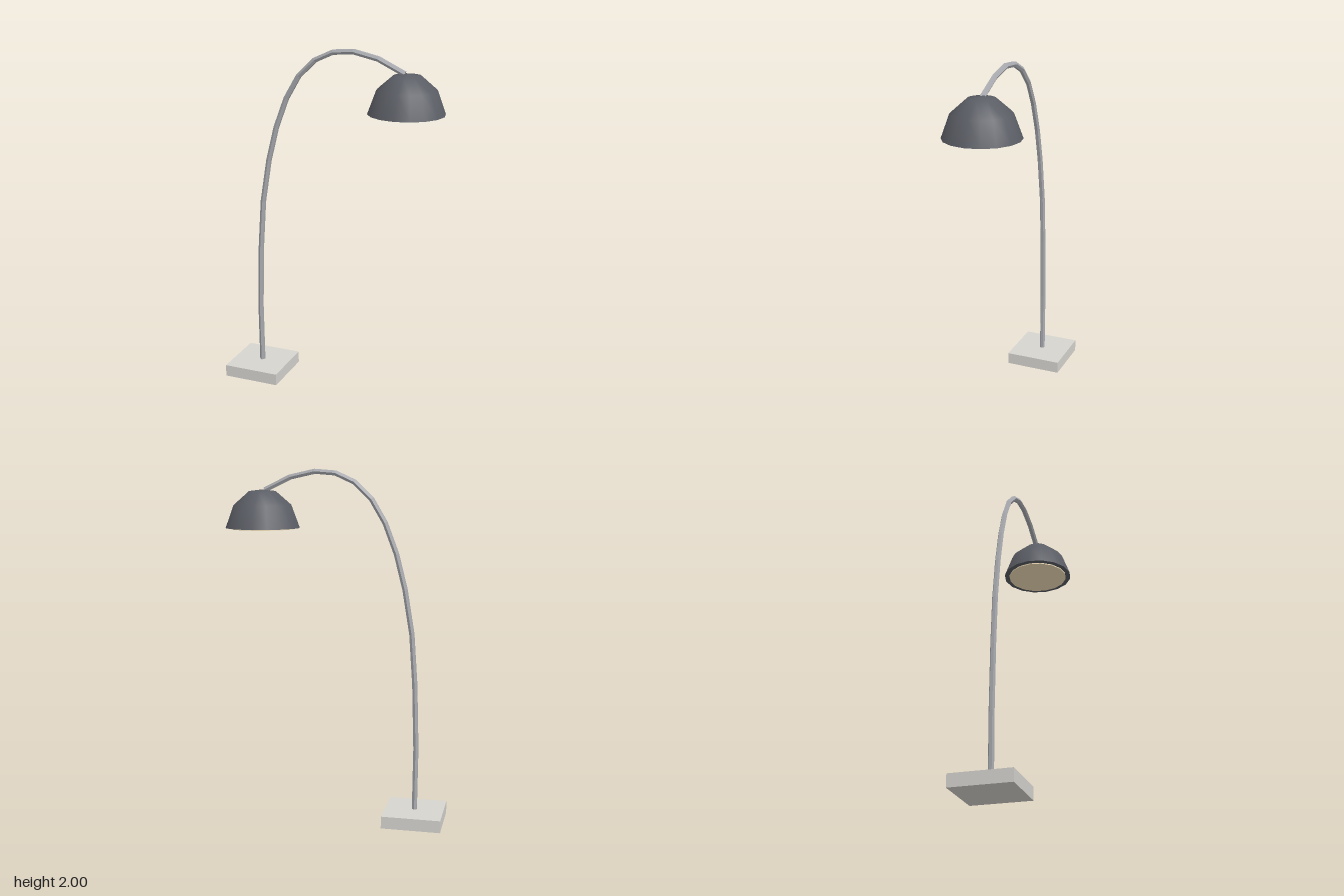
import * as THREE from 'three';

const mat = (color, extra = {}) => new THREE.MeshStandardMaterial({ color, ...extra });

function addPart(group, name, geometry, material, x = 0, y = 0) {
  const mesh = new THREE.Mesh(geometry, material);
  mesh.name = name;
  mesh.position.set(x, y, 0);
  group.add(mesh);
}

export function createModel() {
  const group = new THREE.Group();
  group.name = 'arcFloorLamp';

  // Square slab base
  addPart(group, 'base', new THREE.BoxGeometry(0.335, 0.07, 0.335), mat(0xd6d4cf), -0.467, 0.035);

  // Arched pole: six-sided tube with one ring per control point
  const points = [
    [-0.467, 0.06], [-0.47, 0.43], [-0.458, 0.80], [-0.437, 1.09], [-0.395, 1.34],
    [-0.345, 1.535], [-0.28, 1.705], [-0.203, 1.835], [-0.106, 1.927], [0, 1.975],
    [0.117, 1.984], [0.257, 1.953], [0.405, 1.882],
  ].map(([x, y]) => new THREE.Vector3(x, y, 0));
  const arc = new THREE.CatmullRomCurve3(points);
  arc.getPointAt = (t, target) => arc.getPoint(t, target);
  arc.getTangentAt = (t, target) => arc.getTangent(t, target);
  addPart(group, 'pole', new THREE.TubeGeometry(arc, points.length - 1, 0.016, 6),
    mat(0xa9abb0, { flatShading: true, side: THREE.DoubleSide }));

  // Domed shade, smooth around sixteen sides
  const dome = [[0.21, 0], [0.163, 0.128], [0.075, 0.205], [0, 0.214]]
    .map(([r, y]) => new THREE.Vector2(r, y));
  addPart(group, 'shade', new THREE.LatheGeometry(dome, 16),
    mat(0x5a5d64, { side: THREE.DoubleSide }), 0.42, 1.67);

  // Rim closing the underside of the shade
  const rim = new THREE.RingGeometry(0.16, 0.21, 16).rotateX(Math.PI / 2);
  addPart(group, 'shadeRim', rim, mat(0x5a5d64), 0.42, 1.67);

  // Glowing diffuser disc
  addPart(group, 'diffuser', new THREE.CylinderGeometry(0.18, 0.18, 0.02, 16),
    mat(0xf2dfb8), 0.42, 1.674);

  return group;
}
